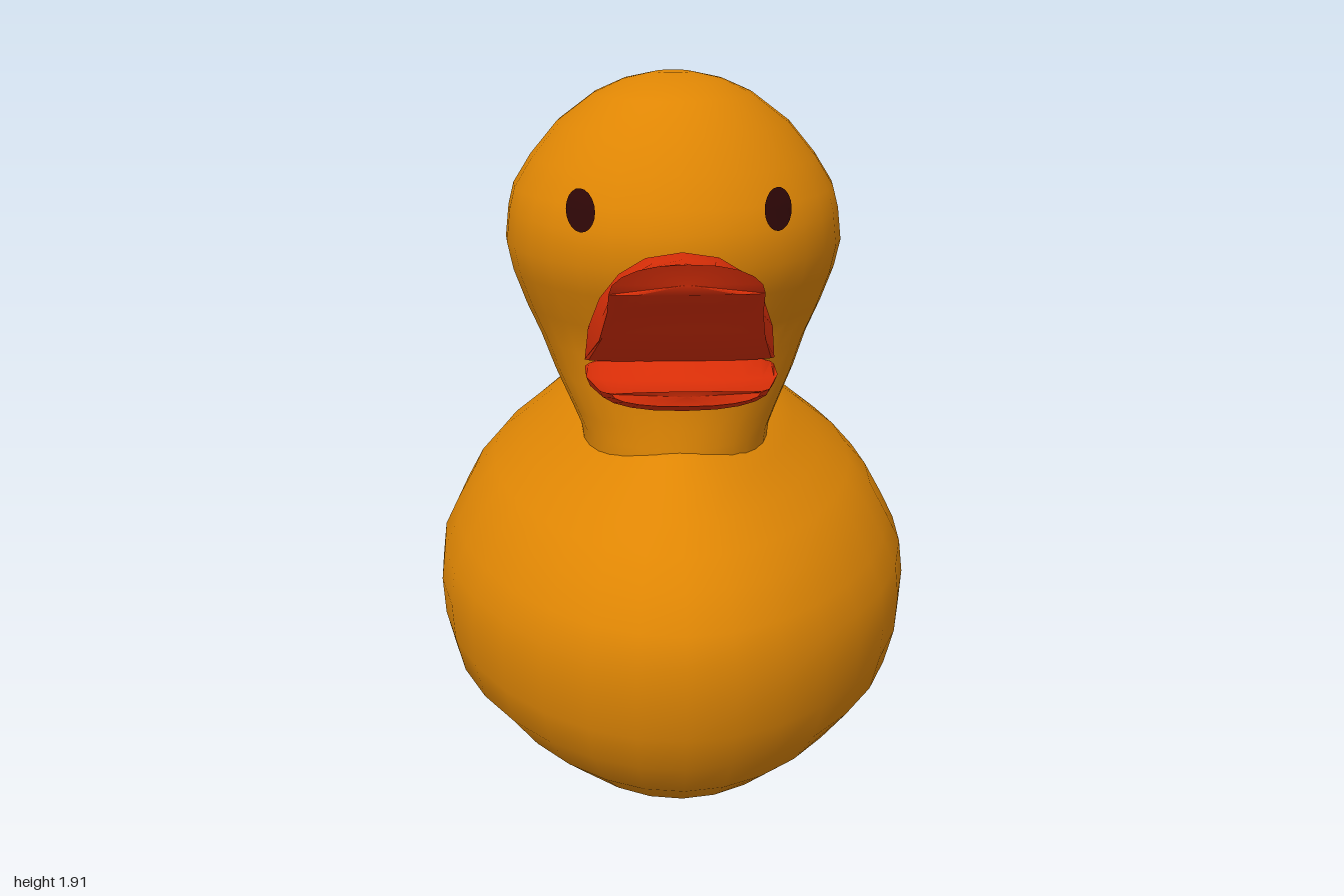
import * as THREE from 'three';
import { toCreasedNormals } from 'three/addons/utils/BufferGeometryUtils.js';

const material = (name, color) => {
  const m = new THREE.MeshStandardMaterial({ color });
  m.name = name;
  return m;
};

// Closed skin over a list of rings, each a counter-clockwise list of [x, y, z]
function loft(rings, crease = 1.0) {
  const n = rings[0].length, last = (rings.length - 1) * n;
  const points = rings.flat(), index = [];
  for (let i = 0; i < rings.length - 1; i++) {
    for (let j = 0; j < n; j++) {
      const a = i * n + j, b = i * n + (j + 1) % n;
      index.push(a, b, b + n, a, b + n, a + n);
    }
  }
  const centre = ring => [0, 1, 2].map(k => ring.reduce((s, p) => s + p[k], 0) / n);
  const start = points.push(centre(rings[0])) - 1;
  const end = points.push(centre(rings[rings.length - 1])) - 1;
  for (let j = 0; j < n; j++) {
    const k = (j + 1) % n;
    index.push(start, k, j, end, last + j, last + k);
  }
  const geo = new THREE.BufferGeometry();
  geo.setAttribute('position', new THREE.Float32BufferAttribute(points.flat(), 3));
  geo.setIndex(index);
  return toCreasedNormals(geo, crease);
}

// Horizontal oval rings from rows of [y, front z, back z, half width];
// pinch narrows them towards the front and back
function ovals(rows, sides = 32, pinch = 0) {
  return rows.map(([y, front, back, w]) => Array.from({ length: sides }, (_, j) => {
    const a = j / sides * Math.PI * 2, c = Math.cos(a);
    return [w * Math.sin(a) * (1 - pinch * c * c), y, (front + back) / 2 + (front - back) / 2 * c];
  }));
}

// Beak rings: an upper and a lower arc that meet at both side edges
function beakRings(rows, steps = 10) {
  return rows.map(([ex, ey, ez, topY, topZ, lowY, lowZ]) =>
    Array.from({ length: steps * 2 }, (_, j) => {
      const a = j / steps * Math.PI, s = Math.abs(Math.sin(a)), c = Math.cos(a);
      const [y, z] = j <= steps ? [topY, topZ] : [lowY, lowZ];
      return [ex * Math.sign(c) * Math.abs(c) ** 0.85, ey + (y - ey) * s, ez + (z - ez) * s];
    }));
}

const BODY = [
  [0, 0.75, -0.81, 0.46], [0.015, 0.78, -0.84, 0.49], [0.10, 0.88, -0.90, 0.59],
  [0.20, 0.94, -0.935, 0.68], [0.31, 0.985, -0.975, 0.705], [0.42, 0.995, -0.988, 0.712],
  [0.52, 1.0, -0.995, 0.70], [0.60, 0.975, -1.0, 0.66], [0.69, 0.915, -0.96, 0.61],
  [0.76, 0.85, -0.93, 0.545], [0.82, 0.77, -0.90, 0.46], [0.88, 0.68, -0.85, 0.38],
  [0.93, 0.60, -0.74, 0.30], [0.95, 0.565, -0.62, 0.22],
];
const HEAD = [
  [0.88, 0.57, 0.0, 0.26], [0.95, 0.575, -0.03, 0.27], [1.0, 0.56, -0.07, 0.295],
  [1.1, 0.57, -0.18, 0.345], [1.19, 0.56, -0.275, 0.385], [1.28, 0.59, -0.315, 0.425],
  [1.38, 0.635, -0.35, 0.46], [1.46, 0.66, -0.35, 0.475], [1.55, 0.65, -0.34, 0.465],
  [1.61, 0.625, -0.33, 0.45], [1.69, 0.58, -0.285, 0.40], [1.78, 0.51, -0.21, 0.325],
  [1.86, 0.425, -0.09, 0.22], [1.895, 0.31, 0.0, 0.14], [1.915, 0.20, 0.10, 0.05],
];
const TAIL = [
  [0.80, -0.42, -0.91, 0.23], [0.90, -0.47, -0.875, 0.16], [0.97, -0.55, -0.86, 0.115],
  [1.06, -0.65, -0.84, 0.08], [1.13, -0.73, -0.828, 0.05], [1.16, -0.76, -0.81, 0.025],
];
const UPPER_BEAK = [
  [0.17, 1.20, 0.46, 1.48, 0.52, 1.22, 0.50], [0.25, 1.21, 0.575, 1.52, 0.70, 1.22, 0.64],
  [0.21, 1.30, 0.72, 1.525, 0.80, 1.33, 0.74], [0.19, 1.40, 0.85, 1.535, 0.90, 1.42, 0.86],
  [0.185, 1.47, 0.935, 1.55, 0.98, 1.47, 0.95],
];
const LOWER_BEAK = [
  [0.17, 1.18, 0.46, 1.23, 0.48, 1.11, 0.46], [0.25, 1.19, 0.57, 1.23, 0.62, 1.095, 0.58],
  [0.245, 1.20, 0.70, 1.19, 0.72, 1.12, 0.70], [0.21, 1.205, 0.84, 1.19, 0.84, 1.15, 0.84],
  [0.18, 1.22, 0.92, 1.23, 0.935, 1.19, 0.93],
];

// z of the head surface at x, y; side is 1 for the front and -1 for the back
function headZ(x, y, side) {
  const i = HEAD.findIndex(row => row[0] >= y);
  const a = HEAD[i - 1], b = HEAD[i], t = (y - a[0]) / (b[0] - a[0]);
  const [front, back, w] = [1, 2, 3].map(k => a[k] + (b[k] - a[k]) * t);
  return (front + back) / 2 + side * (front - back) / 2 * Math.sqrt(1 - (x / w) ** 2);
}

// Painted oval that follows the head surface
function paintedOval(cx, cy, rx, ry, side) {
  const geo = new THREE.RingGeometry(0.001, 1, 20, 4);
  const pos = geo.attributes.position;
  for (let i = 0; i < pos.count; i++) {
    const x = cx + side * pos.getX(i) * rx, y = cy + pos.getY(i) * ry;
    pos.setXYZ(i, x, y, headZ(x, y, side) + side * 0.008);
  }
  geo.computeVertexNormals();
  return geo;
}

export function createModel() {
  const duck = new THREE.Group();
  duck.name = 'bathDuck';
  const yellow = material('amberYellow', 0xdf8604);
  const red = material('beakRed', 0xdc2f08);
  const dark = material('eyeBrown', 0x2c0606);
  const shade = material('patchBrown', 0xa87628);

  const add = (name, geo, mat) => {
    const mesh = new THREE.Mesh(geo, mat);
    mesh.name = name;
    duck.add(mesh);
  };

  add('body', loft(ovals(BODY, 32, 0.08)), yellow);
  add('headAndNeck', loft(ovals(HEAD)), yellow);
  add('tail', loft(ovals(TAIL, 16)), yellow);
  add('upperBeak', loft(beakRings(UPPER_BEAK)), red);
  add('lowerBeak', loft(beakRings(LOWER_BEAK)), red);

  // Eyes and the patch at the nape
  add('leftEye', paintedOval(0.255, 1.6, 0.038, 0.052, 1), dark);
  add('rightEye', paintedOval(-0.255, 1.6, 0.038, 0.052, 1), dark);
  add('napePatch', paintedOval(0.02, 1.03, 0.19, 0.1, -1), shade);

  return duck;
}
